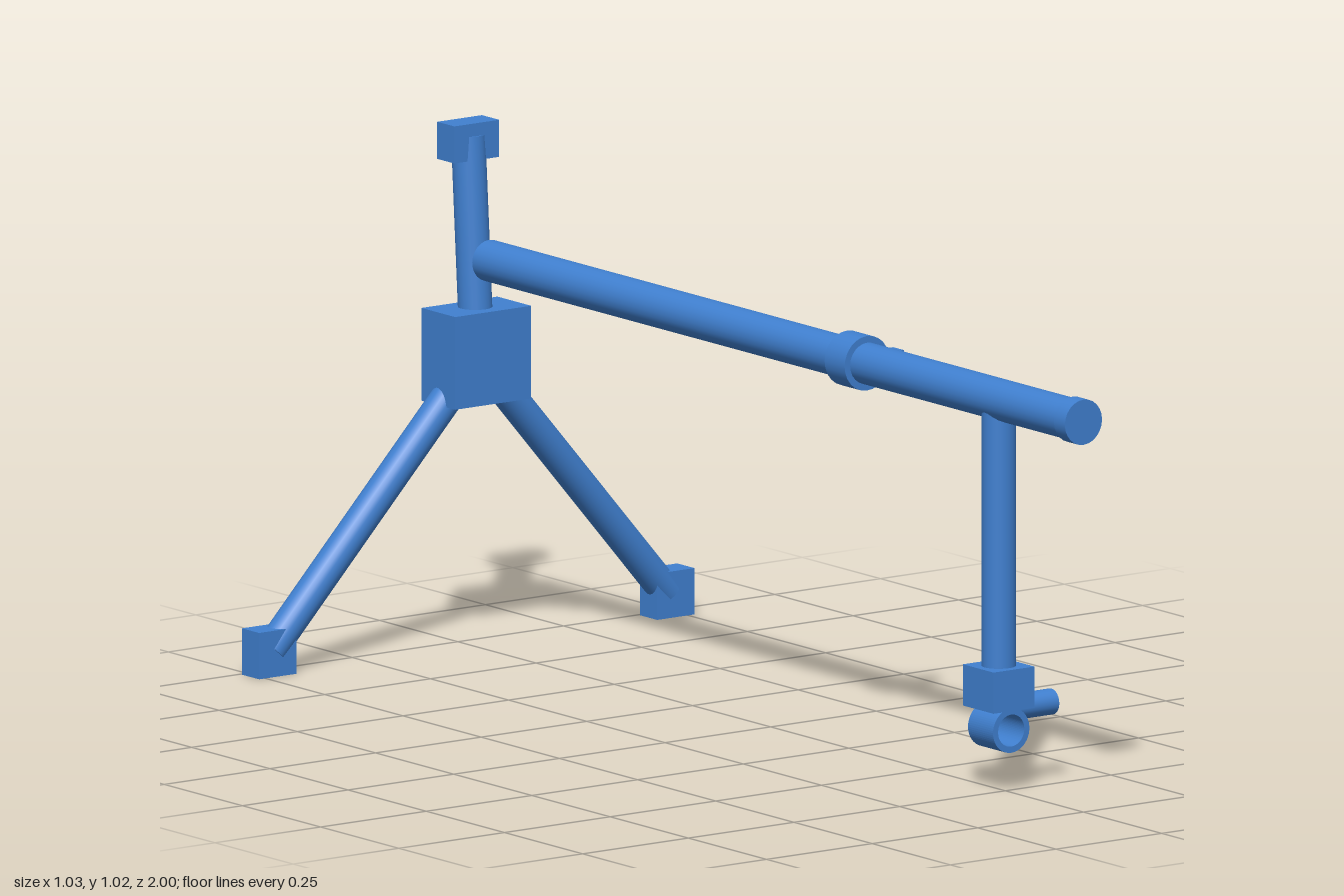
import * as THREE from 'three';

export function createModel() {
  const model = new THREE.Group();
  const blue = new THREE.MeshStandardMaterial({ color: 0x4080d0 });

  const add = (name, geometry, x = 0, y = 0, z = 0) => {
    const mesh = new THREE.Mesh(geometry, blue);
    mesh.name = name;
    mesh.position.set(x, y, z);
    model.add(mesh);
    return mesh;
  };
  const box = (name, w, h, d, x, y, z) => add(name, new THREE.BoxGeometry(w, h, d), x, y, z);

  // Round rod between two points
  const rod = (name, radius, from, to) => {
    const a = new THREE.Vector3(...from), b = new THREE.Vector3(...to);
    const dir = b.clone().sub(a);
    const mesh = add(name, new THREE.CylinderGeometry(radius, radius, dir.length(), 24));
    mesh.position.copy(a).add(b).multiplyScalar(0.5);
    mesh.quaternion.setFromUnitVectors(new THREE.Vector3(0, 1, 0), dir.normalize());
    return mesh;
  };

  // Long horizontal bar with end cap and clamp collar
  const barY = 0.757;
  rod('mainBar', 0.04, [0, barY, -0.9], [0, barY, 0.99]);
  rod('endCap', 0.044, [0, barY, 0.965], [0, barY, 1]);
  rod('collar', 0.053, [0, barY, 0.244], [0, barY, 0.308]);
  box('collarLever', 0.07, 0.026, 0.034, 0.064, 0.755, 0.275);

  // Rear stand: hub, upright with head block, two splayed legs
  const hubZ = -0.941, endZ = -0.967;
  box('hub', 0.18, 0.18, 0.108, 0, 0.57, hubZ);
  rod('upright', 0.033, [0, 0.6, hubZ], [0, 0.99, endZ]);
  box('headBlock', 0.106, 0.072, 0.055, 0, 0.981, endZ);
  for (const side of [1, -1]) {
    const name = side > 0 ? 'left' : 'right';
    rod(name + 'Leg', 0.031, [side * 0.02, 0.545, hubZ], [side * 0.468, 0.046, endZ]);
    box(name + 'Foot', 0.088, 0.09, 0.055, side * 0.471, 0.045, endZ);
  }

  // Front post with clamp block and side knob
  const postZ = 0.729;
  rod('post', 0.033, [0, 0.2, postZ], [0, barY, postZ]);
  box('clampBlock', 0.097, 0.08, 0.098, 0, 0.2, postZ);
  rod('clampKnob', 0.025, [0.036, 0.155, postZ], [0.125, 0.155, postZ]);

  // Open ring under the clamp block
  const ringShape = new THREE.Shape().absarc(0, 0, 0.043, 0, Math.PI * 2);
  ringShape.holes.push(new THREE.Path().absarc(0, 0, 0.031, 0, Math.PI * 2, true));
  const ringGeometry = new THREE.ExtrudeGeometry(ringShape, { depth: 0.08, bevelEnabled: false, curveSegments: 32 });
  add('clampRing', ringGeometry, 0, 0.12, postZ - 0.04);

  return model;
}
